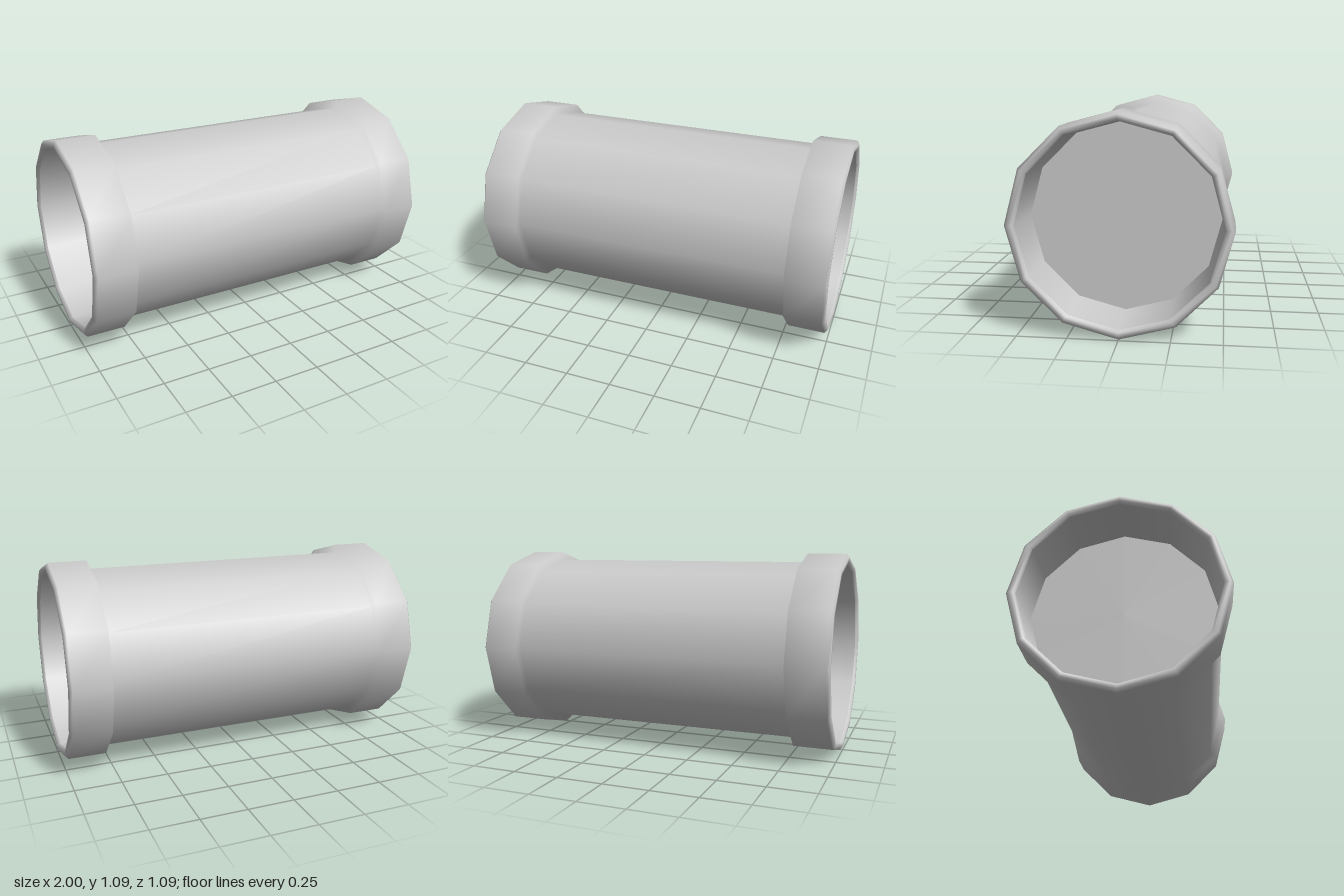
import * as THREE from 'three';

const SIDES = 12;
const RADIUS = 0.547;
const DISC_X = 0.73;
const DISC_R = 0.485;

export function createModel() {
  const group = new THREE.Group();
  group.name = 'pipe';
  const material = new THREE.MeshStandardMaterial({ color: 0xcccccc });

  const add = (name, geometry) => {
    const mesh = new THREE.Mesh(geometry, material);
    mesh.name = name;
    mesh.position.y = RADIUS;
    group.add(mesh);
  };

  // Turn a profile of [x, radius] points around the x axis
  const turn = (points) =>
    new THREE.LatheGeometry(points.map(([x, r]) => new THREE.Vector2(r, x)), SIDES)
      .rotateZ(-Math.PI / 2);

  // Outer shell: collar with rounded lip, body, collar with rounded lip
  add('outerShell', turn([
    [-0.985, 0.5], [-1, 0.51], [-1, 0.53], [-0.985, RADIUS],
    [-0.775, RADIUS], [-0.775, 0.5],
    [0.78, 0.5], [0.78, RADIUS],
    [0.985, RADIUS], [1, 0.53], [1, 0.51], [0.985, 0.5],
  ]));

  // Tapered bores and the flat discs that close them
  add('rightBore', turn([[-DISC_X, DISC_R], [-0.985, 0.5]]));
  add('leftBore', turn([[0.985, 0.5], [DISC_X, DISC_R]]));
  for (const side of [-1, 1]) {
    const disc = new THREE.CircleGeometry(DISC_R, SIDES)
      .rotateY(side * Math.PI / 2)
      .translate(side * DISC_X, 0, 0);
    add(side > 0 ? 'leftDisc' : 'rightDisc', disc);
  }

  return group;
}
